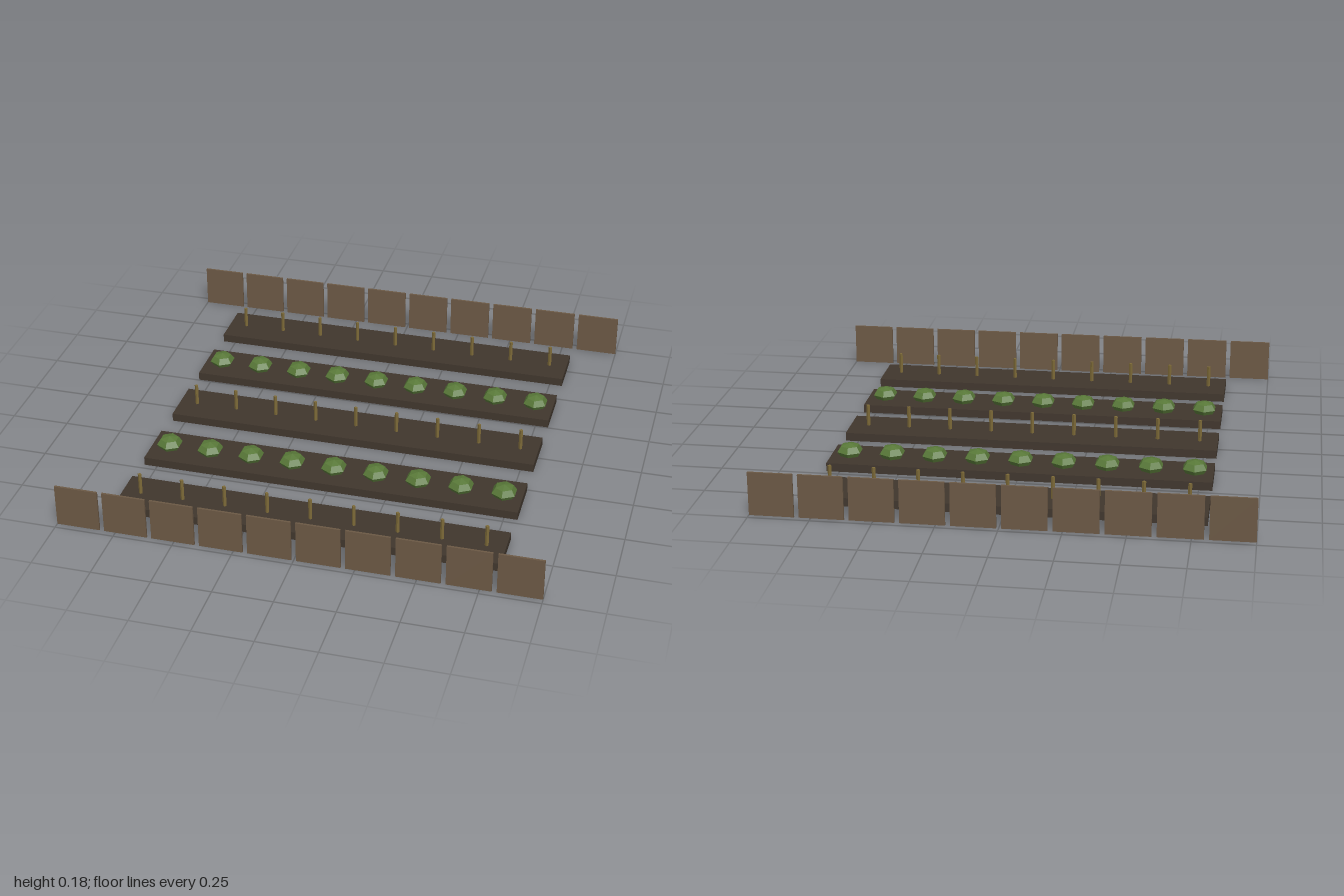
import * as THREE from 'three';

const mat = (name, color, flatShading = false) => {
  const m = new THREE.MeshStandardMaterial({ color, flatShading });
  m.name = name;
  return m;
};

export function createModel() {
  const garden = new THREE.Group();
  garden.name = 'vegetableGarden';

  const soil = mat('soil', 0x40362d);
  const wood = mat('fenceWood', 0x6b5844);
  const leaf = mat('leafGreen', 0x587838, true);
  const stem = mat('stemOchre', 0x7d6a38, true);

  const add = (parent, name, geometry, material, x, y, z) => {
    const mesh = new THREE.Mesh(geometry, material);
    mesh.name = name;
    mesh.position.set(x, y, z);
    parent.add(mesh);
    return mesh;
  };

  const bedHeight = 0.036;
  const bedGeo = new THREE.BoxGeometry(1.612, bedHeight, 0.22);
  const panelGeo = new THREE.BoxGeometry(0.182, 0.182, 0.009);
  const stalkGeo = new THREE.CylinderGeometry(0.008, 0.008, 0.095, 4);
  // Squashed six-sided head, with corners towards the front and back
  const headGeo = new THREE.SphereGeometry(0.056, 6, 4).rotateY(Math.PI / 2).scale(1, 0.62, 1);

  // Five raised beds, alternating thin stalks and leafy heads
  for (let row = -2; row <= 2; row++) {
    const bed = new THREE.Group();
    bed.name = 'plantingRow';
    bed.position.z = row * 0.364;
    garden.add(bed);
    add(bed, 'soilBed', bedGeo, soil, 0, bedHeight / 2, 0);
    const leafy = row % 2 !== 0;
    for (let i = -4; i <= 4; i++) {
      const x = i * 0.182;
      if (leafy) add(bed, 'leafyHead', headGeo, leaf, x, 0.055, 0);
      else add(bed, 'stalk', stalkGeo, stem, x, bedHeight + 0.0465, 0);
    }
  }

  // Ten separate fence panels along the front and the back
  for (const side of [-1, 1]) {
    const fence = new THREE.Group();
    fence.name = side > 0 ? 'frontFence' : 'backFence';
    fence.position.z = side * 0.97;
    garden.add(fence);
    for (let i = 0; i < 10; i++) {
      add(fence, 'fencePanel', panelGeo, wood, (i - 4.5) * 0.202, 0.091, 0);
    }
  }

  return garden;
}
